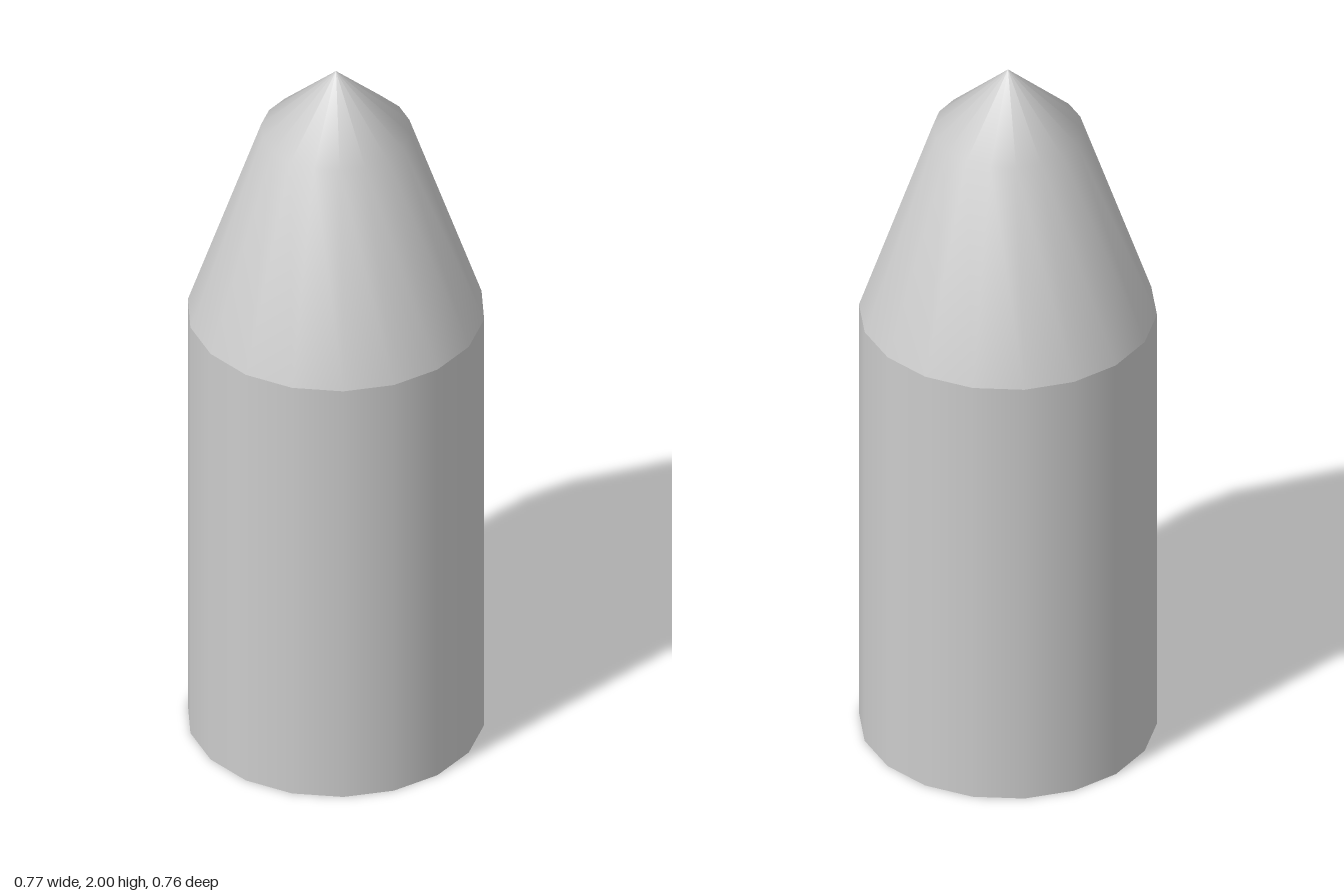
import * as THREE from 'three';

const SIDES = 18;

// Revolve a profile (running counter-clockwise from the base centre) with a corner on the x axis
function revolve(name, profile, flatShading = false) {
  const points = profile.map(([r, y]) => new THREE.Vector2(r, y));
  const geometry = new THREE.LatheGeometry(points, SIDES, Math.PI / 2);
  const material = new THREE.MeshStandardMaterial({ color: 0xcccccc, flatShading });
  const mesh = new THREE.Mesh(geometry, material);
  mesh.name = name;
  return mesh;
}

export function createModel() {
  const group = new THREE.Group();
  group.name = 'pointedCylinder';

  const radius = 0.387;
  const shoulderY = 1.26;
  const socketRadius = 0.267;

  group.add(
    // Recess in the underside: ceiling, bevel and straight wall
    revolve('baseSocket', [[0, 0.158], [0.18, 0.158], [socketRadius, 0.1], [socketRadius, 0]], true),
    // Flat ring the model stands on
    revolve('baseRim', [[socketRadius, 0], [radius, 0]], true),
    // Straight smooth wall
    revolve('body', [[radius, 0], [radius, shoulderY]]),
    // Tapered nose blending smoothly into the pointed tip
    revolve('nose', [[radius, shoulderY], [0.195, 1.82], [0, 2]])
  );
  return group;
}
